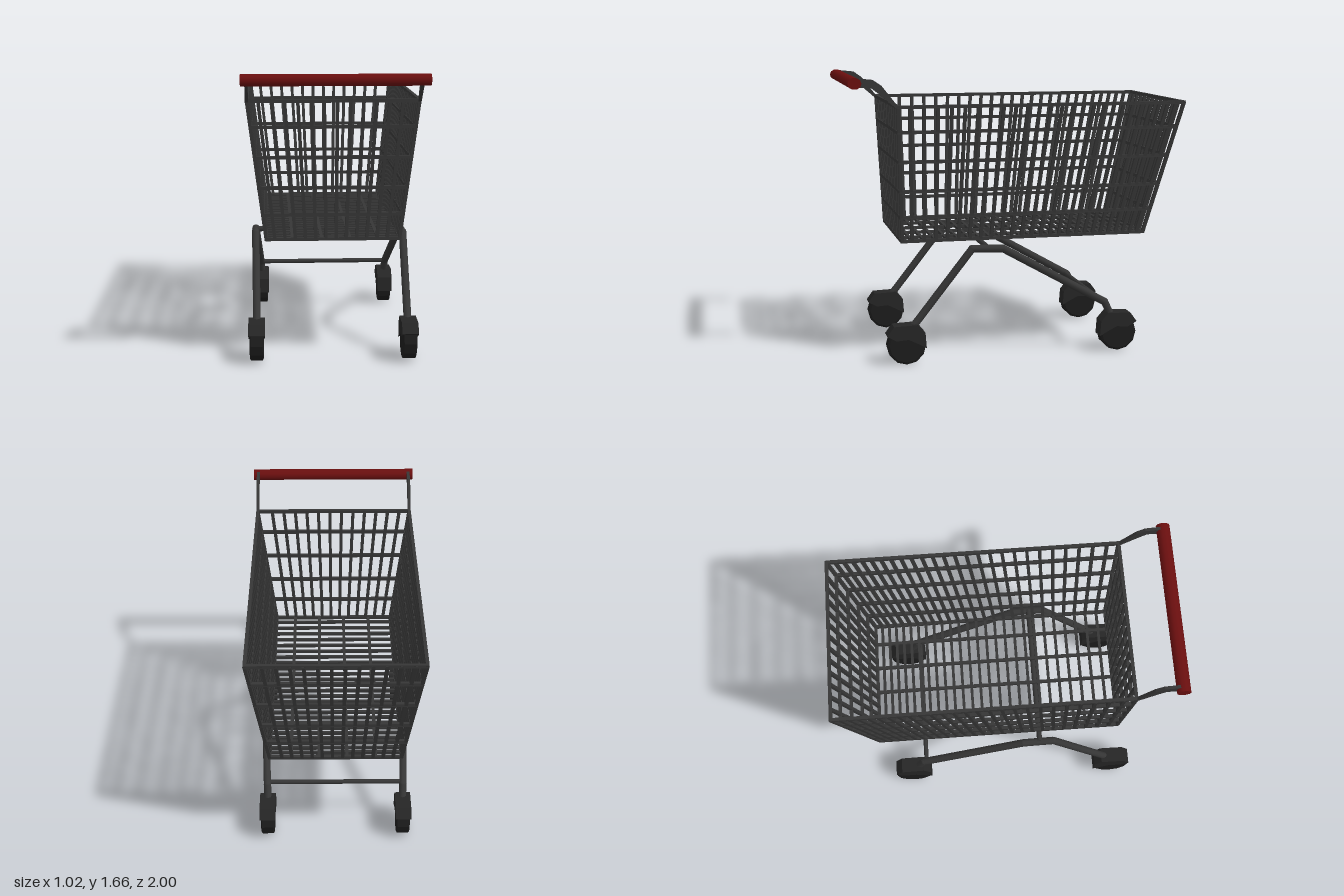
import * as THREE from 'three';

const frameMat = new THREE.MeshStandardMaterial({ color: 0x363636 });
const wheelMat = new THREE.MeshStandardMaterial({ color: 0x1c1c1c, flatShading: true });
const coverMat = new THREE.MeshStandardMaterial({ color: 0x262626, flatShading: true });
const gripMat = new THREE.MeshStandardMaterial({ color: 0x6a0f0f });

const V = (x, y, z) => new THREE.Vector3(x, y, z);
const UP = V(0, 1, 0);

function add(parent, name, geometry, material) {
  const mesh = new THREE.Mesh(geometry, material);
  mesh.name = name;
  parent.add(mesh);
  return mesh;
}

// Lay a piece built along y between two points
function span(mesh, a, b) {
  mesh.position.copy(a).lerp(b, 0.5);
  mesh.quaternion.setFromUnitVectors(UP, b.clone().sub(a).normalize());
}

// Square wire bar
function bar(parent, name, a, b, size = 0.019) {
  span(add(parent, name, new THREE.BoxGeometry(size, a.distanceTo(b) + size * 0.5, size), frameMat), a, b);
}

// Round tube
function rod(parent, name, a, b, r, sides = 10) {
  span(add(parent, name, new THREE.CylinderGeometry(r, r, a.distanceTo(b), sides), frameMat), a, b);
}

// Polygon in the (z, y) plane, extruded along x and centred on it
function sidePlate(parent, name, points, width, material) {
  const shape = new THREE.Shape(points.map(([z, y]) => new THREE.Vector2(-z, y)));
  const geo = new THREE.ExtrudeGeometry(shape, { depth: width, bevelEnabled: false });
  geo.translate(0, 0, -width / 2).rotateY(Math.PI / 2);
  return add(parent, name, geo, material);
}

// Basket outline: half width, front z and back z at height y
const Y0 = 0.71, Y1 = 1.495;
function level(y) {
  const t = (y - Y0) / (Y1 - Y0);
  return {
    w: THREE.MathUtils.lerp(0.378, 0.48, t),
    f: THREE.MathUtils.lerp(0.685, 0.715, t),
    b: THREE.MathUtils.lerp(-0.78, -0.988, t),
  };
}

function makeBasket() {
  const basket = new THREE.Group();
  basket.name = 'basket';
  const lo = level(Y0), hi = level(Y1);

  // Horizontal hoops
  for (const y of [Y0, 0.852, 1.005, 1.178, 1.35, Y1]) {
    const { w, f, b } = level(y);
    const c = [V(-w, y, f), V(w, y, f), V(w, y, b), V(-w, y, b)];
    c.forEach((p, i) => bar(basket, 'hoopBar', p, c[(i + 1) % 4]));
  }

  // Corner posts and end-wall bars
  const across = [-1, 1];
  for (let i = -6; i <= 5; i++) across.push((0.023 + 0.0737 * i) / 0.482);
  for (const u of across) {
    bar(basket, 'frontWallBar', V(u * lo.w, Y0, lo.f), V(u * hi.w, Y1, hi.f));
    bar(basket, 'backWallBar', V(u * lo.w, Y0, lo.b), V(u * hi.w, Y1, hi.b));
  }

  // Side-wall bars, closer together towards the back, each joined by a floor bar
  for (let i = 0; i < 25; i++) {
    const u = (i + 0.8) / 25.8;
    const t = 1.27 * u - 0.27 * u * u;
    const zLow = THREE.MathUtils.lerp(lo.f, lo.b, t);
    const zTop = THREE.MathUtils.lerp(hi.f, hi.b, t);
    for (const s of [-1, 1]) {
      bar(basket, 'sideWallBar', V(s * lo.w, Y0, zLow), V(s * hi.w, Y1, zTop));
    }
    bar(basket, 'floorCrossBar', V(-lo.w, Y0, zLow), V(lo.w, Y0, zLow), 0.017);
  }

  // Lengthwise floor bars
  for (const x of [-0.23, -0.065, 0.095, 0.255]) {
    bar(basket, 'floorLongBar', V(x, Y0, lo.f), V(x, Y0, lo.b), 0.018);
  }
  return basket;
}

function makeHandle() {
  const handle = new THREE.Group();
  handle.name = 'handle';
  const grip = add(handle, 'handleGrip', new THREE.CylinderGeometry(0.036, 0.036, 1.02, 10), gripMat);
  grip.rotation.z = Math.PI / 2;
  grip.scale.set(0.92, 1, 1.1);
  grip.position.set(0, 1.631, 0.96);

  // Flat arms widening towards the grip
  const arm = [[0.708, 1.49], [0.807, 1.617], [0.855, 1.65], [0.95, 1.66],
    [0.95, 1.607], [0.87, 1.608], [0.83, 1.578], [0.728, 1.49]];
  for (const s of [-1, 1]) sidePlate(handle, 'handleArm', arm, 0.018, frameMat).position.x = s * 0.48;
  return handle;
}

// Wheel with chamfered tread and a folded cover; flip is 1 at the front, -1 at the back
function makeCaster(x, z, flip) {
  const caster = new THREE.Group();
  caster.name = 'caster';
  const profile = [[0, -0.04], [0.1, -0.04], [0.113, -0.034], [0.113, 0.034], [0.1, 0.04], [0, 0.04]]
    .map(([r, h]) => new THREE.Vector2(r, h));
  const wheel = add(caster, 'wheel', new THREE.LatheGeometry(profile, 12), wheelMat);
  wheel.rotation.z = Math.PI / 2;
  wheel.position.y = 0.113;
  const cover = [[0.115, 0.175], [0.075, 0.23], [-0.065, 0.235], [-0.108, 0.185],
    [-0.115, 0.095], [-0.07, 0.12], [-0.01, 0.15], [0.06, 0.145]].map(([a, y]) => [a * flip, y]);
  if (flip < 0) cover.reverse();
  sidePlate(caster, 'wheelCover', cover, 0.094, coverMat);
  caster.position.set(x, 0, z);
  return caster;
}

function makeUndercarriage() {
  const base = new THREE.Group();
  base.name = 'undercarriage';
  for (const s of [-1, 1]) {
    // Bent leg tube running from front wheel to back wheel
    const path = [V(0.435, 0.18, 0.665), V(0.44, 0.662, 0.285), V(0.44, 0.655, 0.1),
      V(0.412, 0.295, -0.535), V(0.408, 0.18, -0.59)];
    path.forEach((p) => { p.x *= s; });
    for (let i = 0; i < path.length - 1; i++) {
      rod(base, 'legTube', path[i], path[i + 1], 0.023);
      if (i) add(base, 'legBend', new THREE.SphereGeometry(0.023, 10, 8), frameMat).position.copy(path[i]);
    }
    base.add(makeCaster(s * 0.437, 0.68, 1), makeCaster(s * 0.41, -0.61, -1));
  }
  rod(base, 'upperCrossBar', V(-0.44, 0.672, 0.2), V(0.44, 0.672, 0.2), 0.016);
  rod(base, 'lowerCrossBar', V(-0.41, 0.302, -0.52), V(0.41, 0.302, -0.52), 0.014);
  return base;
}

export function createModel() {
  const cart = new THREE.Group();
  cart.name = 'shoppingCart';
  cart.add(makeBasket(), makeHandle(), makeUndercarriage());
  return cart;
}
